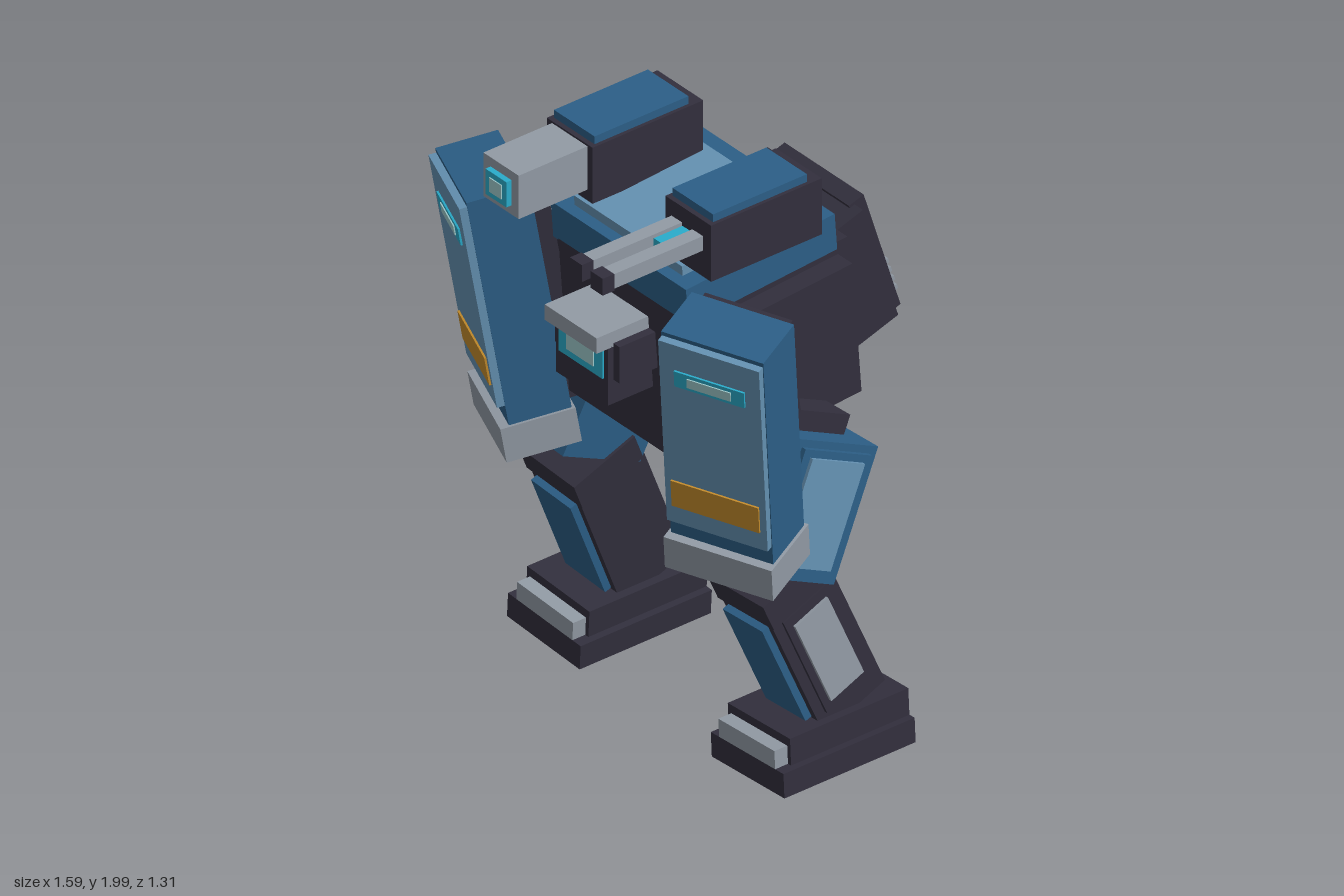
import * as THREE from 'three';

const paint = (name, hex) => {
  const m = new THREE.MeshStandardMaterial({ color: hex });
  m.name = name;
  return m;
};

export function createModel() {
  const dark = paint('darkFrame', 0x322f3d);
  const blue = paint('armourBlue', 0x2c5f87);
  const light = paint('lightBlue', 0x6592b3);
  const grey = paint('metalGrey', 0x929ba5);
  const amber = paint('amberStripe', 0xc48c2c);
  const cyan = paint('cyanGlow', 0x2aaccb);
  const pale = paint('paleGlow', 0x9fcacc);

  const root = new THREE.Group();
  root.name = 'walkerRobot';

  const box = (parent, name, mat, size, pos) => {
    const mesh = new THREE.Mesh(new THREE.BoxGeometry(...size), mat);
    mesh.name = name;
    mesh.position.set(...pos);
    parent.add(mesh);
    return mesh;
  };
  const group = (parent, name, pos, rot = [0, 0, 0]) => {
    const g = new THREE.Group();
    g.name = name;
    g.position.set(...pos);
    g.rotation.set(rot[0], rot[1], rot[2], 'YXZ');
    parent.add(g);
    return g;
  };

  // Torso, leaning slightly forward
  const torso = group(root, 'torso', [0, 1.345, -0.04], [0.075, 0, 0]);
  box(torso, 'torsoBody', dark, [0.6, 0.56, 0.64], [0, 0, 0]);
  for (const s of [-1, 1]) box(torso, 'torsoSidePanel', dark, [0.07, 0.47, 0.54], [s * 0.335, 0, -0.01]);
  box(torso, 'collar', blue, [0.65, 0.13, 0.58], [0, 0.34, 0.03]);
  box(torso, 'topPlate', light, [0.52, 0.04, 0.46], [0, 0.42, 0.05]);

  // Chest sensor with hood
  const chest = group(root, 'chestSensor', [0, 0, 0]);
  box(chest, 'sensorHousing', dark, [0.25, 0.21, 0.2], [0, 1.375, 0.35]);
  box(chest, 'sensorUpperHousing', dark, [0.31, 0.13, 0.18], [0, 1.42, 0.34]);
  box(chest, 'sensorHood', grey, [0.25, 0.055, 0.24], [0, 1.5, 0.375]);
  box(chest, 'sensorScreen', cyan, [0.21, 0.1, 0.009], [0, 1.408, 0.452]);
  box(chest, 'sensorScreenCore', pale, [0.13, 0.055, 0.009], [0, 1.412, 0.456]);

  // Backpack with screen and vents
  const pack = group(root, 'backpack', [0, 1.43, -0.467], [0.31, 0, 0]);
  box(pack, 'packBase', dark, [0.46, 0.45, 0.18], [0, 0, 0.03]);
  box(pack, 'packPlate', dark, [0.38, 0.47, 0.06], [0, 0, -0.07]);
  box(pack, 'packScreen', cyan, [0.28, 0.18, 0.009], [0, 0.09, -0.104]);
  box(pack, 'packScreenCore', pale, [0.19, 0.1, 0.009], [0, 0.09, -0.108]);
  for (let i = 0; i < 4; i++) box(pack, 'packVent', grey, [0.33, 0.017, 0.03], [0, -0.08 - i * 0.037, -0.108]);

  // Shoulder weapon pods
  for (const s of [-1, 1]) {
    const pod = group(root, s < 0 ? 'cannonPod' : 'twinGunPod', [s * 0.285, 0, 0]);
    box(pod, 'podBody', dark, [0.22, 0.2, 0.43], [0, 1.872, 0.053]);
    box(pod, 'podCap', blue, [0.195, 0.035, 0.365], [0, 1.982, 0.068]);
    if (s < 0) {
      box(pod, 'cannonBarrel', grey, [0.17, 0.155, 0.28], [0, 1.888, 0.395]);
      box(pod, 'cannonLens', cyan, [0.1, 0.09, 0.02], [0, 1.888, 0.545]);
      box(pod, 'cannonLensCore', pale, [0.058, 0.05, 0.006], [0, 1.888, 0.556]);
    } else {
      for (const x of [-0.055, 0.045]) {
        box(pod, 'gunBarrel', grey, [0.05, 0.052, 0.37], [x, 1.89, 0.435]);
        box(pod, 'gunMuzzle', dark, [0.058, 0.06, 0.045], [x, 1.89, 0.638]);
      }
      box(pod, 'gunGlow', cyan, [0.045, 0.03, 0.12], [-0.005, 1.89, 0.32]);
    }
  }

  // Arms and legs, mirrored
  for (const s of [-1, 1]) {
    const arm = group(root, s < 0 ? 'rightArm' : 'leftArm', [s * 0.55, 1.335, 0.31], [0.155, s * 0.4, -s * 0.04]);
    box(arm, 'armShell', blue, [0.35, 0.82, 0.2], [0, 0, 0]);
    box(arm, 'armBackFrame', dark, [0.3, 0.74, 0.06], [-s * 0.01, 0, -0.125]);
    box(arm, 'armFrontPlate', light, [0.345, 0.72, 0.03], [0, 0.035, 0.11]);
    box(arm, 'armStripe', amber, [0.3, 0.1, 0.009], [0, -0.205, 0.127]);
    box(arm, 'armLight', cyan, [0.24, 0.06, 0.009], [0, 0.265, 0.127]);
    box(arm, 'armLightCore', pale, [0.15, 0.034, 0.009], [0, 0.265, 0.131]);
    box(arm, 'hand', grey, [0.37, 0.12, 0.24], [0, -0.455, 0.01]);
    box(root, 'shoulderJoint', dark, [0.16, 0.26, 0.14], [s * 0.43, 1.38, 0.1]).rotation.x = 0.155;

    // Leg splays outward towards the foot
    const leg = group(root, s < 0 ? 'rightLeg' : 'leftLeg', [s * 0.43, 1.1, 0], [0, 0, s * 0.058]);
    const thigh = group(leg, 'thigh', [s * 0.01, -0.165, 0.015], [-0.44, 0, 0]);
    box(thigh, 'thighArmour', blue, [0.27, 0.45, 0.34], [0, 0, 0]);
    box(thigh, 'thighOuterRim', blue, [0.02, 0.4, 0.28], [s * 0.143, 0, 0]);
    box(thigh, 'thighPanel', light, [0.02, 0.35, 0.22], [s * 0.155, 0, 0]);
    box(thigh, 'hipJoint', dark, [0.2, 0.14, 0.22], [-s * 0.05, 0.22, 0.01]);

    const shin = group(leg, 'lowerLeg', [0, -0.64, -0.012], [0.39, 0, 0]);
    box(shin, 'shinFrame', dark, [0.24, 0.58, 0.26], [0, 0, 0]);
    box(shin, 'kneeBlock', dark, [0.27, 0.1, 0.25], [0, 0.24, 0.01]);
    box(shin, 'shinPlate', blue, [0.19, 0.4, 0.03], [0, -0.02, 0.14]);
    box(shin, 'calfPanelRim', dark, [0.012, 0.4, 0.19], [s * 0.125, -0.02, 0]);
    box(shin, 'calfPanel', grey, [0.02, 0.33, 0.14], [s * 0.132, -0.02, 0]);

    const foot = group(leg, 'foot', [0, -1.09, -0.052]);
    box(foot, 'footBase', dark, [0.35, 0.085, 0.51], [0, 0.055, 0]);
    box(foot, 'footTop', dark, [0.3, 0.1, 0.46], [0, 0.14, -0.025]);
    box(foot, 'toePlate', grey, [0.27, 0.065, 0.07], [0, 0.128, 0.22]);
  }

  return root;
}
